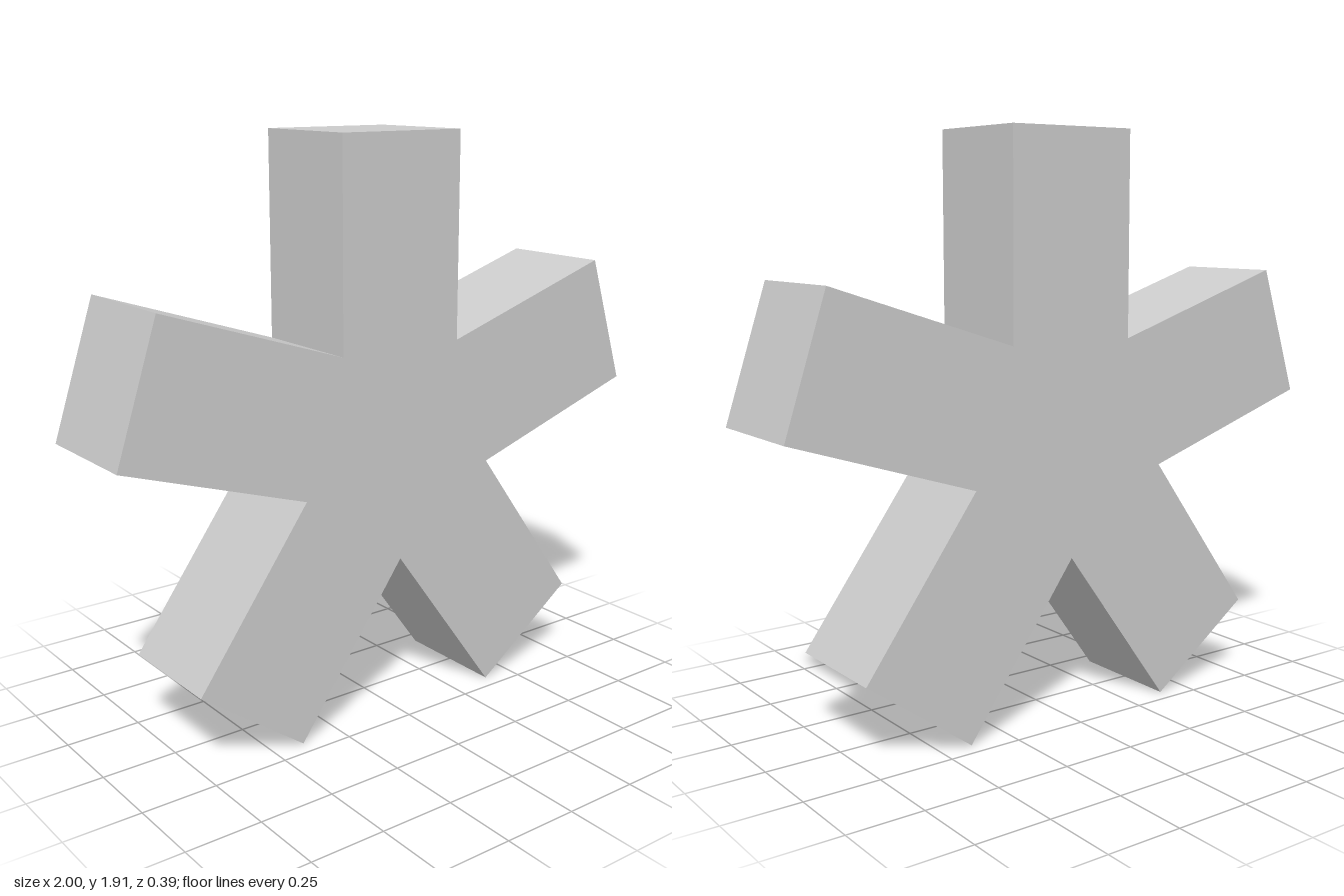
import * as THREE from 'three';

const ARMS = 5;
const HALF_WIDTH = 0.228;
const REACH = [0.982, 0.978, 0.983, 0.983, 0.978]; // centre to arm end
const CENTRE_Y = 0.929;
const DEPTH = 0.394;

export function createModel() {
  const group = new THREE.Group();
  group.name = 'fiveArmedStar';

  // Outline: each arm gives two end corners and the notch after it
  const notch = HALF_WIDTH / Math.sin(Math.PI / ARMS);
  const points = [];
  for (let i = 0; i < ARMS; i++) {
    const a = Math.PI / 2 + (i * 2 * Math.PI) / ARMS;
    const c = Math.cos(a), s = Math.sin(a);
    for (const side of [-1, 1]) {
      const w = side * HALF_WIDTH;
      points.push(new THREE.Vector2(REACH[i] * c - w * s, REACH[i] * s + w * c));
    }
    const n = a + Math.PI / ARMS;
    points.push(new THREE.Vector2(notch * Math.cos(n), notch * Math.sin(n)));
  }

  // Solid slab with square edges
  const geometry = new THREE.ExtrudeGeometry(new THREE.Shape(points), {
    depth: DEPTH, bevelEnabled: false,
  });
  geometry.translate(0, CENTRE_Y, -DEPTH / 2);

  const material = new THREE.MeshStandardMaterial({ color: 0xcccccc, flatShading: true });
  const star = new THREE.Mesh(geometry, material);
  star.name = 'starBody';
  group.add(star);
  return group;
}
